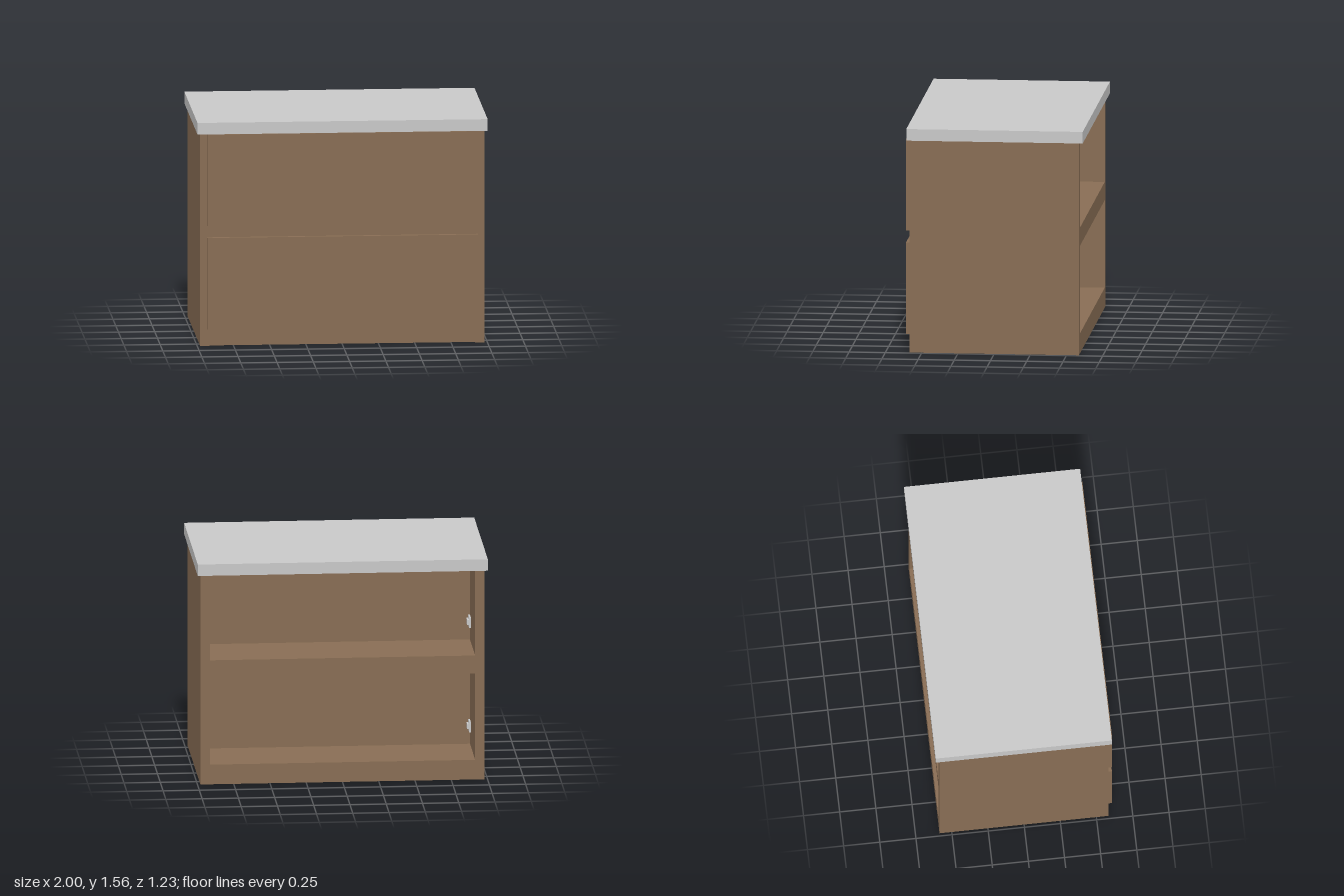
import * as THREE from 'three';

export function createModel() {
  const cabinet = new THREE.Group();
  cabinet.name = 'drawerCabinet';

  const wood = new THREE.MeshStandardMaterial({ color: 0x886d54 });
  wood.name = 'brown wood';
  const stone = new THREE.MeshStandardMaterial({ color: 0xc8c8c8 });
  stone.name = 'light grey';

  // Box given by its lower and upper limits on each axis
  function box(name, material, [x0, x1], [y0, y1], [z0, z1]) {
    const mesh = new THREE.Mesh(new THREE.BoxGeometry(x1 - x0, y1 - y0, z1 - z0), material);
    mesh.position.set((x0 + x1) / 2, (y0 + y1) / 2, (z0 + z1) / 2);
    mesh.name = name;
    cabinet.add(mesh);
  }

  const back = -0.585, front = 0.585, recess = 0.56;
  const inner = 0.915, outer = 0.98, bodyTop = 1.482;

  // Worktop, overhanging the carcass
  box('worktop', stone, [-1, 1], [bodyTop, 1.563], [-0.613, 0.605]);

  // Side panels
  box('leftSidePanel', wood, [inner, outer], [0, bodyTop], [back, front]);
  box('rightSidePanel', wood, [-outer, -inner], [0, bodyTop], [back, front]);

  // Base and middle shelf, set slightly back from the front edge
  box('base', wood, [-inner, inner], [0, 0.139], [back, recess]);
  box('middleShelf', wood, [-inner, inner], [0.75, 0.877], [back, recess]);

  // Drawers: front board, box behind it, and runner ends in the open back
  const drawers = [
    { label: 'lower', board: [0.12, 0.76], bay: [0.139, 0.75] },
    { label: 'upper', board: [0.842, bodyTop], bay: [0.877, bodyTop] },
  ];
  for (const { label, board, bay } of drawers) {
    box(label + 'DrawerFront', wood, [-0.933, 0.933], board, [front, 0.613]);
    box(label + 'DrawerBox', wood, [-inner, inner], bay, [-0.115, front]);
    const y = bay[0] + 0.1;
    for (const side of [-1, 1]) {
      const span = (a, b) => (side > 0 ? [a, b] : [-b, -a]);
      box(label + 'RunnerRail', stone, span(0.903, inner), [y, y + 0.075], [-0.195, -0.115]);
      box(label + 'RunnerSlide', stone, span(0.89, 0.903), [y + 0.02, y + 0.055], [-0.185, -0.115]);
    }
  }

  return cabinet;
}
